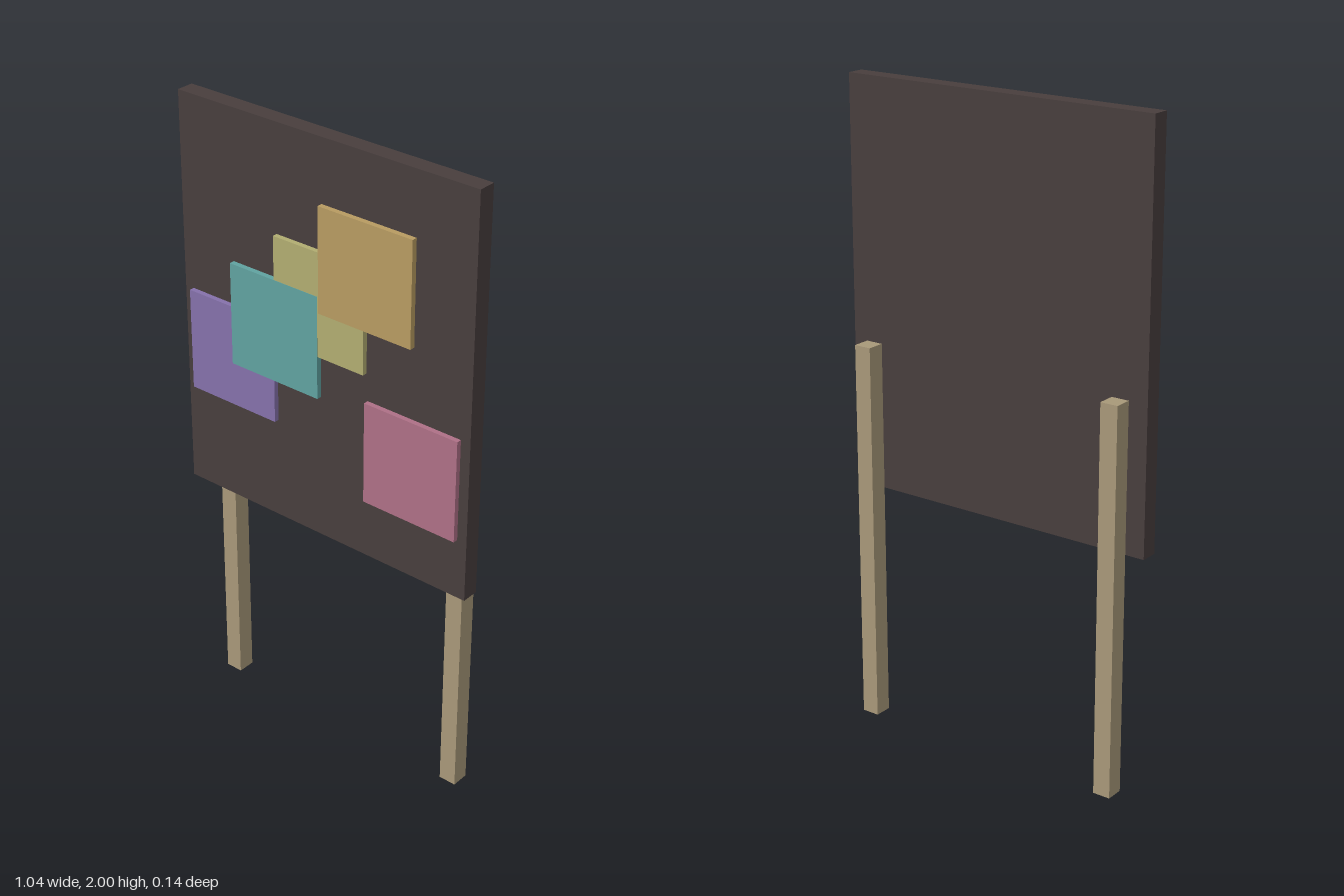
import * as THREE from 'three';

// Box spanning [x0,x1] x [y0,y1] x [z0,z1]
function block(name, color, [x0, x1], [y0, y1], [z0, z1]) {
  const mesh = new THREE.Mesh(
    new THREE.BoxGeometry(x1 - x0, y1 - y0, z1 - z0),
    new THREE.MeshStandardMaterial({ color })
  );
  mesh.position.set((x0 + x1) / 2, (y0 + y1) / 2, (z0 + z1) / 2);
  mesh.name = name;
  return mesh;
}

export function createModel() {
  const model = new THREE.Group();
  model.name = 'signBoard';

  // Dark upright board
  model.add(block('board', 0x483e3d, [-0.52, 0.52], [0.745, 2], [-0.005, 0.05]));

  // Two square posts standing just behind the board
  for (const [name, x] of [['leftPost', 0.437], ['rightPost', -0.437]]) {
    model.add(block(name, 0xa89879, [x - 0.028, x + 0.028], [0, 1.207], [-0.071, -0.015]));
  }

  // Thin square panels: name, colour, left edge, bottom edge, layer
  const size = 0.323;
  const panels = [
    ['purplePanel', 0x8571ab, -0.49, 1.073, 0],
    ['yellowPanel', 0xb1ad71, -0.163, 1.346, 0],
    ['tealPanel', 0x60a2a0, -0.327, 1.211, 1],
    ['orangePanel', 0xb79b61, 0, 1.484, 1],
    ['pinkPanel', 0xae7086, 0.165, 0.937, 0],
  ];
  for (const [name, color, x, y, layer] of panels) {
    // overlapping panels sit a hair further forward
    const front = 0.066 + layer * 0.001;
    model.add(block(name, color, [x, x + size], [y, y + size], [0.048, front]));
  }

  return model;
}
